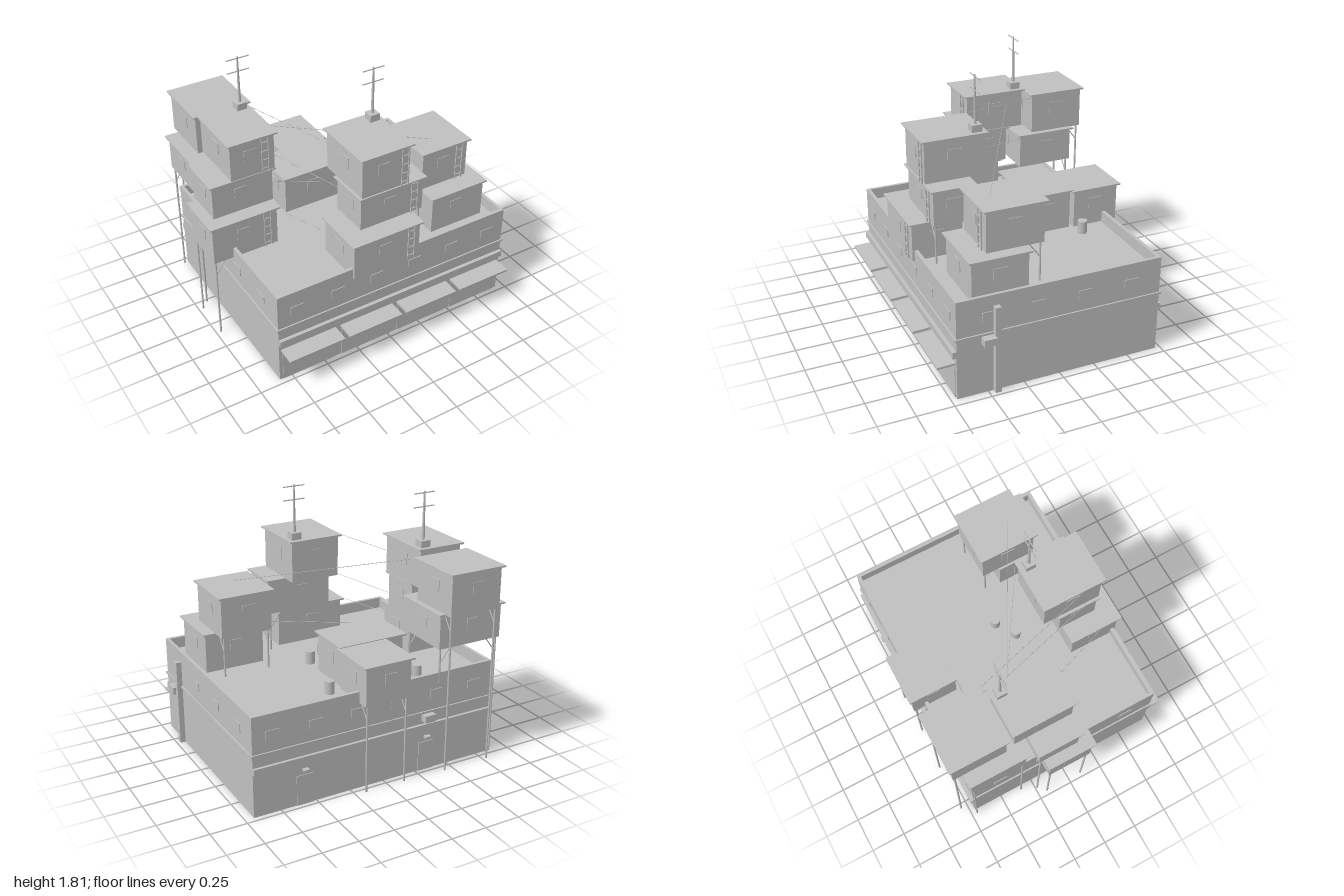
import * as THREE from 'three';

const grey = new THREE.MeshStandardMaterial({ color: 0xc0c0c0 });
grey.name = 'concreteGrey';

export function createModel() {
  const root = new THREE.Group();
  root.name = 'stackedRooftopHouses';

  // box from its minimum and maximum on each axis
  function box(name, x0, x1, y0, y1, z0, z1, parent = root) {
    const m = new THREE.Mesh(new THREE.BoxGeometry(x1 - x0, y1 - y0, z1 - z0), grey);
    m.position.set((x0 + x1) / 2, (y0 + y1) / 2, (z0 + z1) / 2);
    m.name = name;
    parent.add(m);
    return m;
  }
  // straight round bar between two points
  function bar(name, a, b, r, parent = root, sides = 6) {
    const p = new THREE.Vector3(...a), q = new THREE.Vector3(...b);
    const d = q.clone().sub(p);
    const m = new THREE.Mesh(new THREE.CylinderGeometry(r, r, d.length(), sides), grey);
    m.position.copy(p).add(q).multiplyScalar(0.5);
    m.quaternion.setFromUnitVectors(new THREE.Vector3(0, 1, 0), d.normalize());
    m.name = name;
    parent.add(m);
  }

  // main block, parapet and mouldings
  box('mainBlock', -0.84, 0.94, 0, 0.61, -0.715, 0.71);
  box('frontParapet', -0.84, 0.94, 0.61, 0.69, 0.685, 0.71);
  box('backParapet', -0.84, 0.94, 0.61, 0.69, -0.715, -0.69);
  box('rightParapet', -0.84, -0.818, 0.61, 0.69, -0.69, 0.685);
  box('leftParapet', 0.918, 0.94, 0.61, 0.69, -0.69, 0.685);
  box('ledge', -0.85, 0.95, 0.42, 0.435, -0.725, 0.72);
  box('frontBand', -0.84, 0.94, 0.3, 0.345, 0.71, 0.735);
  box('backBand', -0.84, 0.94, 0.3, 0.345, -0.735, -0.715);

  // shop awnings and shutters
  for (let i = 0; i < 4; i++) {
    const x = -0.825 + i * 0.446;
    const awning = box('shopAwning', x, x + 0.41, 0.24, 0.255, 0.71, 0.833);
    awning.rotation.x = 0.04;
    box('shopShutter', x + 0.01, x + 0.4, 0, 0.23, 0.71, 0.714);
  }

  // back doors with small canopies
  for (const x of [0.58, -0.33]) {
    box('backDoor', x - 0.06, x + 0.06, 0, 0.21, -0.72, -0.715);
    box('doorCanopy', x - 0.02, x + 0.02, 0.24, 0.255, -0.747, -0.715);
  }
  box('backWallUnit', -0.37, -0.29, 0.37, 0.42, -0.767, -0.715);

  // drain pipe and wall box on the side
  box('drainPipe', 0.94, 0.977, 0, 0.615, 0.425, 0.465);
  box('wallBox', 0.94, 0.997, 0.365, 0.415, 0.46, 0.545);

  // windows on the upper floor
  for (let i = 0; i < 6; i++) {
    const x = -0.7 + i * 0.3;
    for (const z of [0.7125, -0.7175])
      box('upperWindow', x - 0.05, x + 0.05, 0.52, 0.58, z - 0.0025, z + 0.0025);
  }
  for (let i = 0; i < 4; i++) {
    const z = -0.5 + i * 0.33;
    for (const x of [-0.8425, 0.9425])
      box('sideWindow', x - 0.0025, x + 0.0025, 0.52, 0.58, z - 0.05, z + 0.05);
  }

  // roof vents
  for (const [x, z] of [[-0.35, -0.55], [0.28, -0.49], [0.16, 0], [0.02, 0.09]]) {
    const vent = new THREE.Mesh(new THREE.CylinderGeometry(0.033, 0.033, 0.09, 16), grey);
    vent.position.set(x, 0.655, z);
    vent.name = 'roofVent';
    root.add(vent);
  }

  // houses: body x0, x1, y0, y1, z0, z1, then ladder x on the front wall
  const houses = [
    [-0.98, -0.51, 0.615, 0.893, -0.2, 0.12, -0.585],
    [-0.925, -0.49, 0.9, 1.147, -0.255, 0.035, null],
    [-0.79, -0.475, 1.155, 1.422, -0.37, 0.05, -0.545],
    [-0.88, -0.4, 0.86, 1.097, -0.73, -0.33, null],
    [-0.8, -0.42, 1.105, 1.388, -0.815, -0.43, null],
    [-0.14, 0.19, 0.615, 0.88, -0.8, -0.47, null],
    [-0.3, 0.17, 0.61, 0.885, -0.445, -0.14, null],
    [-0.285, 0.215, 0.615, 0.875, 0.37, 0.725, 0.145],
    [-0.165, 0.31, 0.885, 1.125, 0.325, 0.605, 0.24],
    [-0.165, 0.19, 1.135, 1.42, 0.195, 0.615, 0.15],
    [0.43, 0.85, 0.61, 0.88, 0.185, 0.57, null],
    [0.425, 0.785, 0.89, 1.167, 0.05, 0.445, 0.715],
  ];
  houses.forEach(([x0, x1, y0, y1, z0, z1, lx]) => {
    const g = new THREE.Group();
    g.name = 'house';
    root.add(g);
    box('houseBody', x0, x1, y0, y1, z0, z1, g);
    box('houseRoof', x0 - 0.02, x1 + 0.02, y1, y1 + 0.011, z0 - 0.02, z1 + 0.02, g);
    // thin windows and door on the walls
    const xm = (x0 + x1) / 2, zm = (z0 + z1) / 2, h = y1 - y0;
    for (const s of [-1, 1]) {
      const x = s < 0 ? x0 : x1, z = s < 0 ? z0 : z1;
      box('houseSideWindow', x - 0.004, x + 0.004, y0 + h * 0.45, y0 + h * 0.75, zm - 0.05, zm + 0.05, g);
      box('houseWindow', xm - 0.06, xm + 0.03, y0 + h * 0.45, y0 + h * 0.75, z - 0.004, z + 0.004, g);
    }
    // ladder
    if (lx === null) return;
    const zl = z1 + 0.012;
    for (const s of [-1, 1])
      box('ladderRail', lx + s * 0.024 - 0.003, lx + s * 0.024 + 0.003, Math.max(y0, 0.62), y1, zl - 0.004, zl + 0.004, g);
    for (let y = y0 + 0.03; y < y1; y += 0.065)
      box('ladderRung', lx - 0.024, lx + 0.024, y, y + 0.005, zl - 0.003, zl + 0.003, g);
  });

  // stilts: x, z, bottom, top, strut direction in x and z
  const stilts = [
    [-0.965, -0.18, 0, 0.615, 1, 0], [-0.965, 0.1, 0, 0.615, 1, 0],
    [-0.912, -0.235, 0, 0.9, 0, 0],
    [-0.865, -0.71, 0, 0.86, 1, 0], [-0.865, -0.345, 0, 0.86, 1, 0],
    [-0.78, -0.797, 0, 1.105, 0, 1], [-0.435, -0.797, 0, 1.105, 0, 1],
    [-0.12, -0.782, 0, 0.615, 0, 1], [0.17, -0.782, 0, 0.615, 0, 1],
    [-0.42, -0.71, 0.61, 0.86, -1, 0], [-0.42, -0.35, 0.61, 0.86, -1, 0],
    [0.295, 0.34, 0.61, 0.885, -1, 0], [0.295, 0.59, 0.61, 0.885, -1, 0],
    [0.445, 0.07, 0.61, 0.89, 0, 1], [0.765, 0.07, 0.61, 0.89, 0, 1],
  ];
  for (const [x, z, y0, y1, dx, dz] of stilts) {
    bar('stilt', [x, y0, z], [x, y1, z], 0.007, root, 8);
    if (dx || dz)
      bar('strut', [x, y1 - 0.11, z], [x + dx * 0.08, y1, z + dz * 0.08], 0.004);
  }

  // antennas
  for (const [x, z, y] of [[-0.52, -0.325, 1.43], [0.145, 0.245, 1.43]]) {
    const g = new THREE.Group();
    g.name = 'antenna';
    root.add(g);
    box('antennaBase', x - 0.035, x + 0.035, y, y + 0.05, z - 0.035, z + 0.035, g);
    const mast = new THREE.Mesh(new THREE.CylinderGeometry(0.006, 0.011, 0.335, 8), grey);
    mast.position.set(x, y + 0.2125, z);
    mast.name = 'mast';
    g.add(mast);
    for (const h of [1.705, 1.798])
      bar('crossArm', [x - 0.08, h, z], [x + 0.08, h, z], 0.004, g);
  }

  // wires strung between the houses
  const wires = [
    [[-0.42, 1.372, -0.42], [-0.165, 1.41, 0.53]],
    [[-0.475, 1.33, -0.25], [0.6, 1.175, 0.34]],
    [[-0.4, 1.083, -0.35], [-0.165, 1.11, 0.53]],
    [[-0.51, 0.838, -0.02], [-0.285, 0.855, 0.63]],
    [[-0.4, 0.865, -0.22], [0.43, 0.865, 0.31]],
  ];
  for (const [a, b] of wires) bar('wire', a, b, 0.002, root, 4);

  return root;
}
